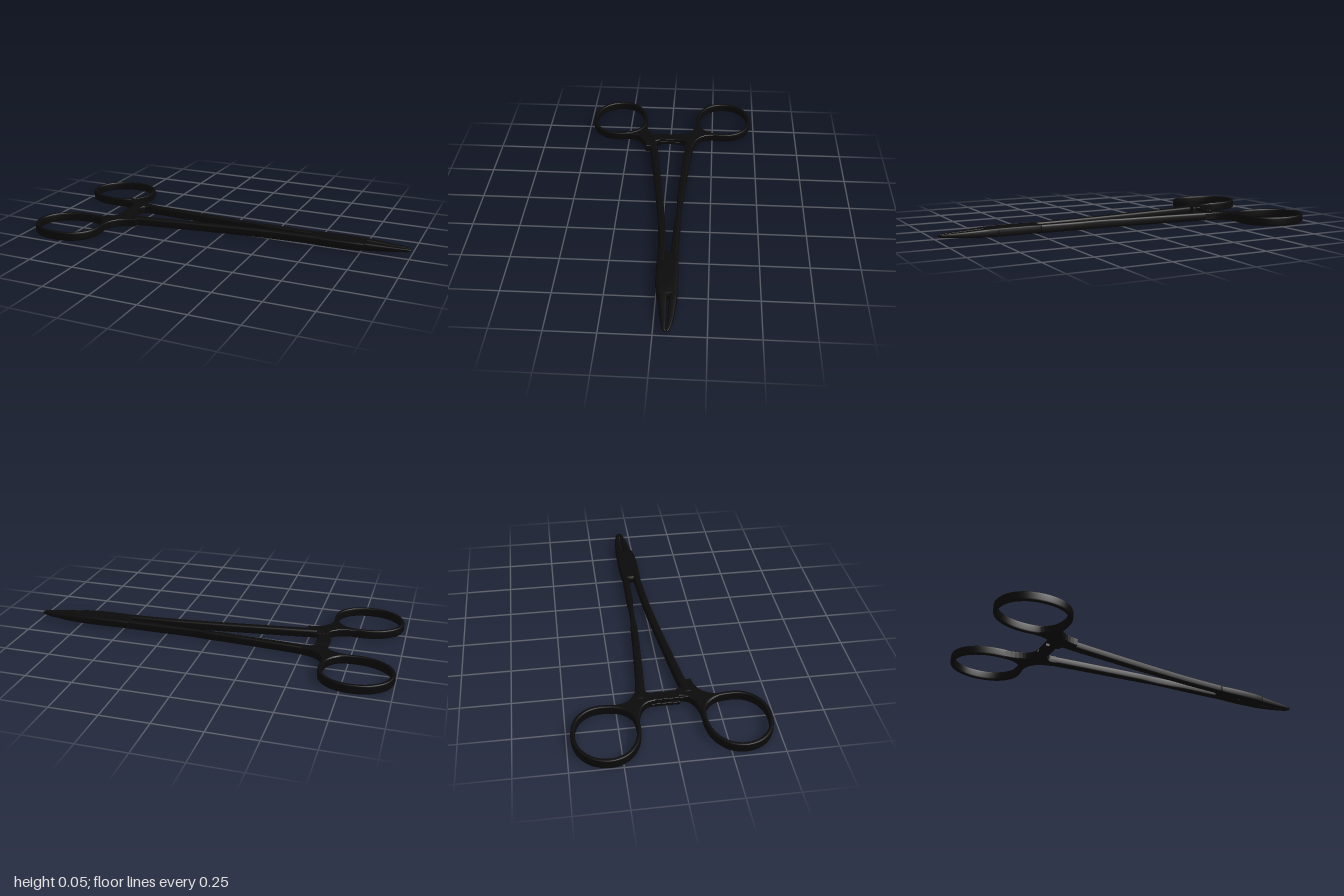
import * as THREE from 'three';

const steel = new THREE.MeshStandardMaterial({ color: 0x0a0a0a });

// Sweeps a rounded-rectangle section through stations [x, z, width, height, midHeight].
function loft(name, stations, { closed = false, steps = 64, power = 0.4, sides = 24 } = {}) {
  const spine = new THREE.CatmullRomCurve3(stations.map(s => new THREE.Vector3(s[0], s[4], s[1])), closed);
  const size = new THREE.CatmullRomCurve3(stations.map(s => new THREE.Vector3(s[2], s[3], 0)), closed);
  const pos = [], index = [];
  const round = v => Math.sign(v) * Math.pow(Math.abs(v), power);
  const addRing = (u, k) => {
    const c = spine.getPoint(u), d = size.getPoint(u), t = spine.getTangent(u);
    t.y = 0;
    t.normalize();
    for (let j = 0; j < sides; j++) {
      const a = j / sides * Math.PI * 2;
      const w = round(Math.cos(a)) * d.x / 2 * k, h = round(Math.sin(a)) * d.y / 2 * k;
      pos.push(c.x - t.z * w, c.y + h, c.z + t.x * w);
    }
  };
  if (!closed) addRing(0, 0);
  for (let i = 0; i < steps + (closed ? 0 : 1); i++) addRing(i / steps, 1);
  if (!closed) addRing(1, 0);
  const rows = pos.length / 3 / sides;
  for (let i = 0; i < (closed ? rows : rows - 1); i++) {
    for (let j = 0; j < sides; j++) {
      const n = (i + 1) % rows, m = (j + 1) % sides;
      const a = i * sides + j, b = n * sides + j, c = n * sides + m, d = i * sides + m;
      index.push(a, b, c, a, c, d);
    }
  }
  const g = new THREE.BufferGeometry();
  g.setAttribute('position', new THREE.Float32BufferAttribute(pos, 3));
  g.setIndex(index);
  g.computeVertexNormals();
  const mesh = new THREE.Mesh(g, steel);
  mesh.name = name;
  return mesh;
}

// Bevelled plate from an [x, z] outline, between two heights.
function plate(name, shape, y0, y1, bevel) {
  const g = new THREE.ExtrudeGeometry(shape, {
    depth: y1 - y0 - 2 * bevel, bevelThickness: bevel, bevelSize: bevel, bevelOffset: -bevel,
    bevelSegments: 3, curveSegments: 12
  });
  g.rotateX(-Math.PI / 2);
  g.translate(0, y0 + bevel, 0);
  const mesh = new THREE.Mesh(g, steel);
  mesh.name = name;
  return mesh;
}

function createHandle(name, place, mid) {
  const group = new THREE.Group();
  group.name = name;

  // Finger ring: a flat band following a slightly egg-shaped loop
  const loop = [
    [-0.988, -0.31], [-0.962, -0.395], [-0.89, -0.452], [-0.79, -0.468], [-0.7, -0.443],
    [-0.645, -0.385], [-0.631, -0.31], [-0.648, -0.225], [-0.7, -0.173], [-0.79, -0.158],
    [-0.89, -0.178], [-0.962, -0.232]
  ].map(p => [...place(...p), 0.021, 0.047, mid]);
  group.add(loft('fingerRing', loop, { closed: true, steps: 96, power: 0.45 }));

  // Neck: filleted web that joins ring, arm and ratchet
  const p = (x, z) => { const q = place(x, z); return [q[0], -q[1]]; };
  const s = new THREE.Shape();
  s.moveTo(...p(-0.623, -0.29));
  s.quadraticCurveTo(...p(-0.64, -0.155), ...p(-0.5, -0.139));
  s.lineTo(...p(-0.5, -0.094));
  s.lineTo(...p(-0.53, -0.096));
  s.quadraticCurveTo(...p(-0.562, -0.095), ...p(-0.565, -0.055));
  s.lineTo(...p(-0.622, -0.055));
  s.quadraticCurveTo(...p(-0.615, -0.148), ...p(-0.79, -0.149));
  s.lineTo(...p(-0.79, -0.163));
  s.quadraticCurveTo(...p(-0.66, -0.165), ...p(-0.638, -0.29));
  group.add(plate('neck', s, mid - 0.021, mid + 0.021, 0.006));
  return group;
}

export function createModel() {
  const model = new THREE.Group();
  model.name = 'clampingForceps';

  const backMid = 0.026, frontMid = 0.029;
  model.add(createHandle('backHandle', (x, z) => [x, z], backMid));
  model.add(createHandle('frontHandle', (x, z) => [x + 0.016, 0.002 - z], frontMid));

  // Long arms, converging on the box joint
  model.add(loft('backArm', [
    [-0.6, -0.127, 0.05, 0.044, backMid], [-0.5, -0.116, 0.046, 0.045, backMid],
    [-0.25, -0.099, 0.04, 0.045, backMid], [0, -0.086, 0.037, 0.045, backMid],
    [0.25, -0.079, 0.037, 0.045, backMid], [0.48, -0.075, 0.039, 0.045, backMid],
    [0.6, -0.07, 0.045, 0.043, 0.028]
  ], { power: 0.55 }));
  model.add(loft('frontArm', [
    [-0.58, 0.112, 0.05, 0.044, frontMid], [-0.5, 0.096, 0.046, 0.045, frontMid],
    [-0.25, 0.061, 0.041, 0.045, frontMid], [0, 0.029, 0.039, 0.045, frontMid],
    [0.25, 0.002, 0.038, 0.045, frontMid], [0.48, -0.013, 0.039, 0.045, frontMid],
    [0.6, -0.02, 0.045, 0.043, 0.029]
  ], { power: 0.55 }));

  // Ratchet: two overlapping toothed bars
  const ratchet = new THREE.Group();
  ratchet.name = 'ratchet';
  const bars = [['lowerRatchetBar', -0.12, 0.065, 0.008, 0.025], ['upperRatchetBar', -0.065, 0.12, 0.031, 0.048]];
  for (const [name, z0, z1, y0, y1] of bars) {
    const x0 = name[0] === 'l' ? -0.624 : -0.618;
    const s = new THREE.Shape();
    s.moveTo(x0, -z0);
    s.lineTo(x0 + 0.056, -z0);
    s.lineTo(x0 + 0.056, -z1);
    s.lineTo(x0, -z1);
    ratchet.add(plate(name, s, y0, y1, 0.003));
  }
  for (let i = 0; i < 6; i++) {
    const tooth = new THREE.Mesh(new THREE.CylinderGeometry(0.004, 0.004, 0.046, 3), steel);
    tooth.name = 'ratchetTooth';
    tooth.rotation.z = Math.PI / 2;
    tooth.position.set(-0.594, 0.027, -0.05 + i * 0.018);
    ratchet.add(tooth);
  }
  model.add(ratchet);

  // Box joint with its pivot pin
  model.add(loft('boxJoint', [
    [0.47, -0.043, 0.104, 0.04, 0.028], [0.53, -0.045, 0.11, 0.046, 0.028],
    [0.62, -0.047, 0.113, 0.047, 0.028], [0.71, -0.05, 0.108, 0.046, 0.028],
    [0.765, -0.054, 0.1, 0.042, 0.028]
  ], { steps: 28, power: 0.35 }));
  const pin = new THREE.Mesh(new THREE.CylinderGeometry(0.02, 0.02, 0.048, 24), steel);
  pin.name = 'pivotPin';
  pin.position.set(0.62, 0.028, -0.047);
  model.add(pin);

  // Tapered jaws with a narrow slit between them
  model.add(loft('backJaw', [
    [0.7, -0.083, 0.042, 0.044, 0.028], [0.78, -0.084, 0.04, 0.041, 0.028],
    [0.87, -0.081, 0.034, 0.031, 0.028], [0.95, -0.076, 0.024, 0.02, 0.029],
    [0.985, -0.071, 0.015, 0.014, 0.029], [0.998, -0.066, 0.006, 0.008, 0.029]
  ], { steps: 40, power: 0.55 }));
  model.add(loft('frontJaw', [
    [0.7, -0.028, 0.052, 0.044, 0.028], [0.78, -0.034, 0.046, 0.041, 0.028],
    [0.87, -0.041, 0.034, 0.031, 0.028], [0.95, -0.048, 0.022, 0.02, 0.029],
    [0.985, -0.053, 0.014, 0.014, 0.029], [0.998, -0.059, 0.008, 0.008, 0.029]
  ], { steps: 40, power: 0.55 }));

  return model;
}
